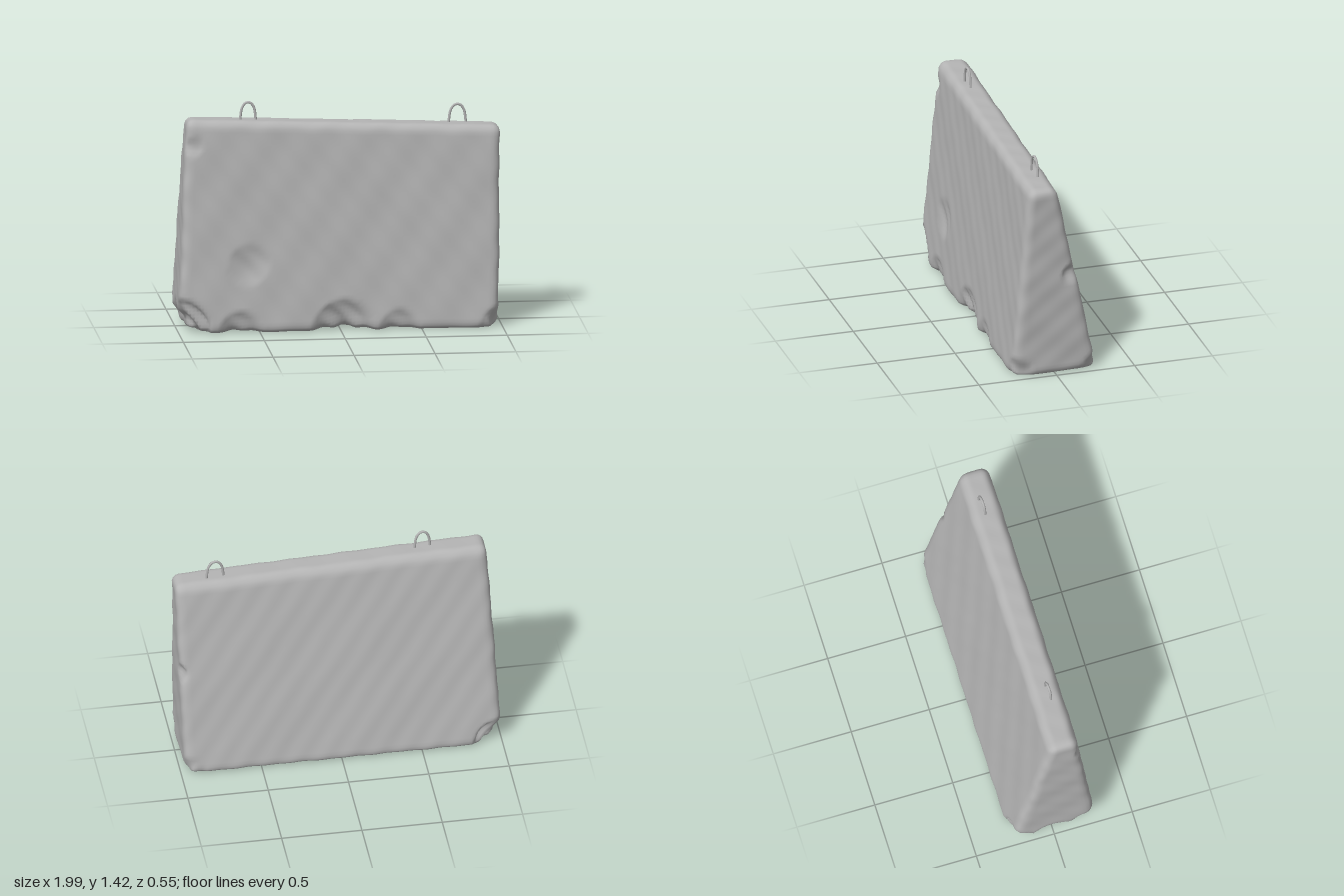
import * as THREE from 'three';
import { mergeVertices } from 'three/addons/utils/BufferGeometryUtils.js';

const { lerp, clamp } = THREE.MathUtils;

// Local chips and gouges: centre, radius, push direction
const CHIPS = [
  [-0.57, 0.42, 0.24, 0.13, 0, 0, -0.018],
  [-0.90, 1.16, 0.18, 0.06, 0.01, 0, -0.015],
  [-1.00, 0.02, 0.27, 0.20, 0.06, 0.02, -0.05],
  [-1.00, 0.00, 0.00, 0.18, 0.05, 0.01, 0],
  [-1.00, 0.02, -0.26, 0.16, 0.04, 0.01, 0.02],
  [-0.62, 0.00, 0.27, 0.14, 0, 0.01, -0.035],
  [0.02, 0.00, 0.27, 0.20, 0, 0.02, -0.05],
  [0.36, 0.00, 0.27, 0.13, 0, 0.01, -0.025],
  [0.98, 0.02, 0.27, 0.12, -0.03, 0, -0.02],
  [0.98, 0.66, -0.10, 0.06, -0.025, 0, 0.01],
  [-0.95, 0.02, -0.27, 0.14, 0.03, 0, 0.03],
  [0.95, 0.02, -0.27, 0.10, -0.02, 0, 0.01],
];

// Smooth unevenness of the cast surface
const wobble = (a, b, c) =>
  0.5 * Math.sin(9 * a + 5 * b + 2.1) * Math.cos(7 * b - 6 * c)
  + 0.3 * Math.sin(21 * a - 13 * b + 11 * c)
  + 0.25 * Math.sin(37 * a + 29 * b - 17 * c + 0.7);

function blockGeometry() {
  const r = 0.05;
  const box = new THREE.BoxGeometry(2, 1, 2, 90, 56, 18);
  box.deleteAttribute('uv');
  box.deleteAttribute('normal');
  const geo = mergeVertices(box);
  const pos = geo.attributes.position;
  const p = new THREE.Vector3(), inner = new THREE.Vector3(), centre = new THREE.Vector3();
  for (let i = 0; i < pos.count; i++) {
    p.fromBufferAttribute(pos, i);
    const t = p.y + 0.5, x0 = p.x;
    const half = lerp(0.277, 0.09, t);
    p.set(p.x, t * 1.285, p.z * half);

    // Round the edges of the tapered section
    inner.set(clamp(p.x, -1 + r, 1 - r), clamp(p.y, r, 1.285 - r), clamp(p.z, r - half, half - r));
    p.sub(inner);
    if (p.length() > 0) p.setLength(Math.min(r, Math.max(Math.abs(p.x), Math.abs(p.y), Math.abs(p.z))));
    p.add(inner);

    // Lean the back more than the front, slope the top and tilt the ends
    const k = clamp(p.y / 1.285, 0, 1);
    const left = lerp(-1.003, -0.945, k), right = lerp(0.975, 0.993, k);
    p.x = lerp(left, right, (p.x + 1) / 2);
    p.z += lerp(0, 0.082, k);
    p.y *= 1 - 0.029 * x0;

    // Uneven surface, strongest on the rims
    const w = 0.005;
    centre.set(p.x, p.y, p.z);
    p.x += w * wobble(centre.y, centre.z, 1.3);
    p.z += w * wobble(centre.x, centre.y, centre.z);
    p.y += 0.6 * w * wobble(centre.x, centre.z, 0.4);

    // Chips
    for (const [x, y, z, radius, dx, dy, dz] of CHIPS) {
      const d = Math.hypot(centre.x - x, centre.y - y, centre.z - z) / radius;
      if (d >= 1) continue;
      const f = (1 - d * d) * (1 + 0.3 * Math.sin(45 * centre.x + 38 * centre.y));
      p.x += dx * f;
      p.y += dy * f;
      p.z += dz * f;
    }
    pos.setXYZ(i, p.x, Math.max(p.y, 0.003), p.z);
  }
  geo.computeVertexNormals();
  return geo;
}

// Bent bar with both feet sunk in the block
function loopGeometry(width, height) {
  const h = width / 2;
  const path = new THREE.CatmullRomCurve3([
    [-h, -0.04], [-h * 0.95, 0.02], [-h * 0.75, height * 0.7], [-h * 0.3, height * 0.98],
    [h * 0.3, height * 0.98], [h * 0.75, height * 0.7], [h * 0.95, 0.02], [h, -0.04],
  ].map(([x, y]) => new THREE.Vector3(x, y, 0)));
  return new THREE.TubeGeometry(path, 28, 0.008, 8);
}

export function createModel() {
  const model = new THREE.Group();
  model.name = 'concreteBarrier';
  const concrete = new THREE.MeshStandardMaterial({ color: 0xb4b4b4 });
  concrete.name = 'concrete grey';

  const block = new THREE.Mesh(blockGeometry(), concrete);
  block.name = 'block';
  model.add(block);

  // Lifting loops
  for (const [name, x, y, z, width, height] of [
    ['rightLiftingLoop', -0.558, 1.31, 0.094, 0.098, 0.104],
    ['leftLiftingLoop', 0.738, 1.26, 0.062, 0.108, 0.108],
  ]) {
    const loop = new THREE.Mesh(loopGeometry(width, height), concrete);
    loop.name = name;
    loop.position.set(x, y, z);
    loop.rotation.y = 0.09;
    model.add(loop);
  }
  return model;
}
